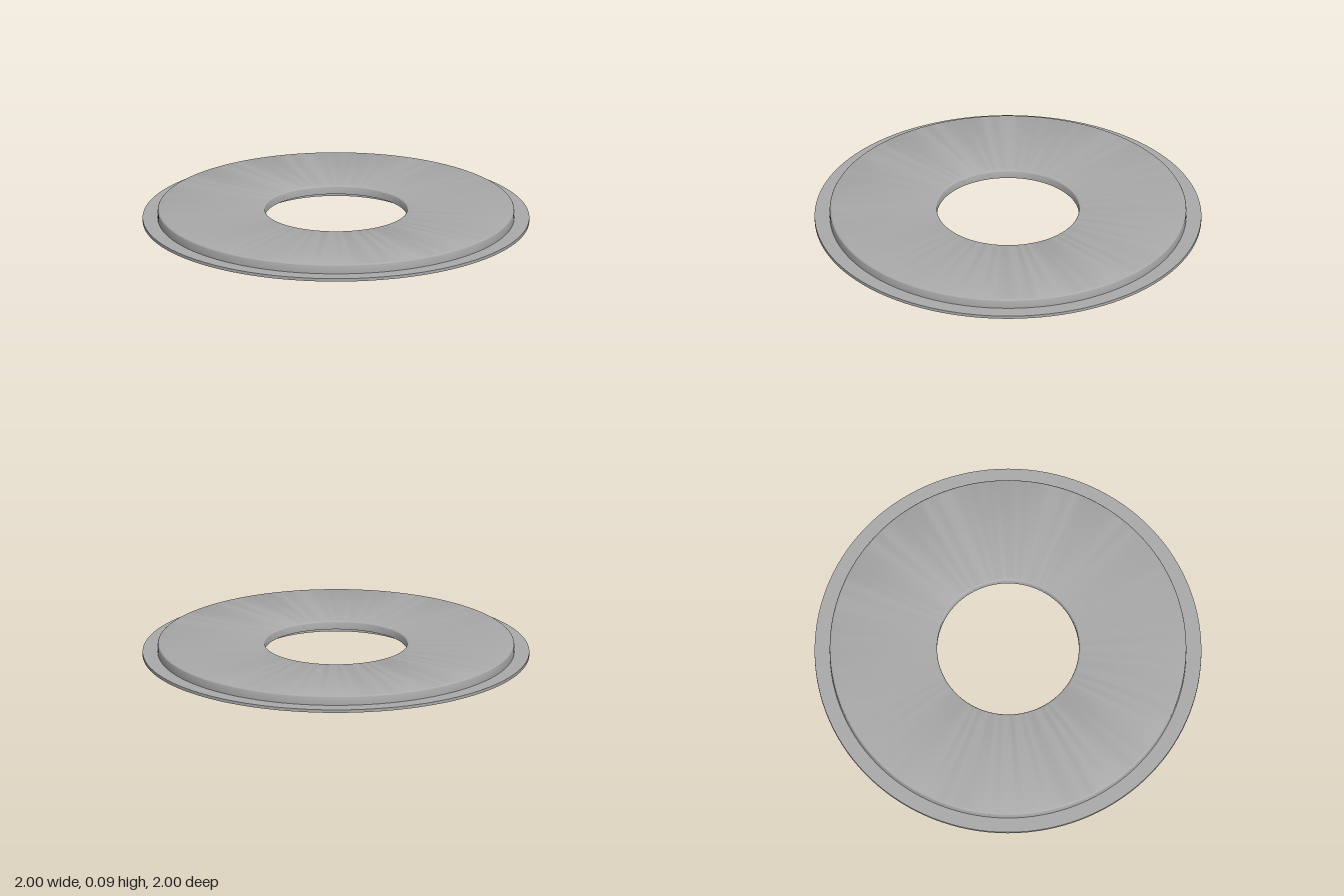
import * as THREE from 'three';
import { toCreasedNormals } from 'three/addons/utils/BufferGeometryUtils.js';

const SEGMENTS = 128;

// Rounded corner of a lathe profile, as [radius, height] points
function fillet(cx, cy, r, from, to, steps = 5) {
  const pts = [];
  for (let i = 0; i <= steps; i++) {
    const a = from + (to - from) * i / steps;
    pts.push([cx + r * Math.cos(a), cy + r * Math.sin(a)]);
  }
  return pts;
}

export function createModel() {
  const group = new THREE.Group();
  const grey = new THREE.MeshStandardMaterial({ color: 0xaaaaaa });
  grey.name = 'plain grey';

  // Ring disc: base, thin outer flange, rounded top edges, bore and stepped recess below
  const bottom = 0.013, top = 0.088, bore = 0.367, recess = 0.426, body = 0.922, r = 0.012;
  const profile = [
    [bore, 0.043],
    [recess, 0.043],
    [recess, bottom],
    [body, bottom],
    [body, 0.022],
    [1, 0.022],
    [1, 0.038],
    [body, 0.038],
    ...fillet(body - r, top - r, r, 0, Math.PI / 2),
    ...fillet(bore + r, top - r, r, Math.PI / 2, Math.PI),
    [bore, 0.043],
  ].map(([x, y]) => new THREE.Vector2(x, y));
  const disc = new THREE.Mesh(
    toCreasedNormals(new THREE.LatheGeometry(profile, SEGMENTS), 0.6), grey);
  disc.name = 'flangedDisc';
  group.add(disc);

  // Four small round feet under the disc
  const footGeometry = new THREE.CylinderGeometry(0.037, 0.037, bottom + 0.004, 32);
  for (let i = 0; i < 4; i++) {
    const a = i * Math.PI / 2;
    const foot = new THREE.Mesh(footGeometry, grey);
    foot.name = 'foot' + (i + 1);
    foot.position.set(0.642 * Math.cos(a), (bottom + 0.004) / 2, 0.642 * Math.sin(a));
    group.add(foot);
  }
  return group;
}
